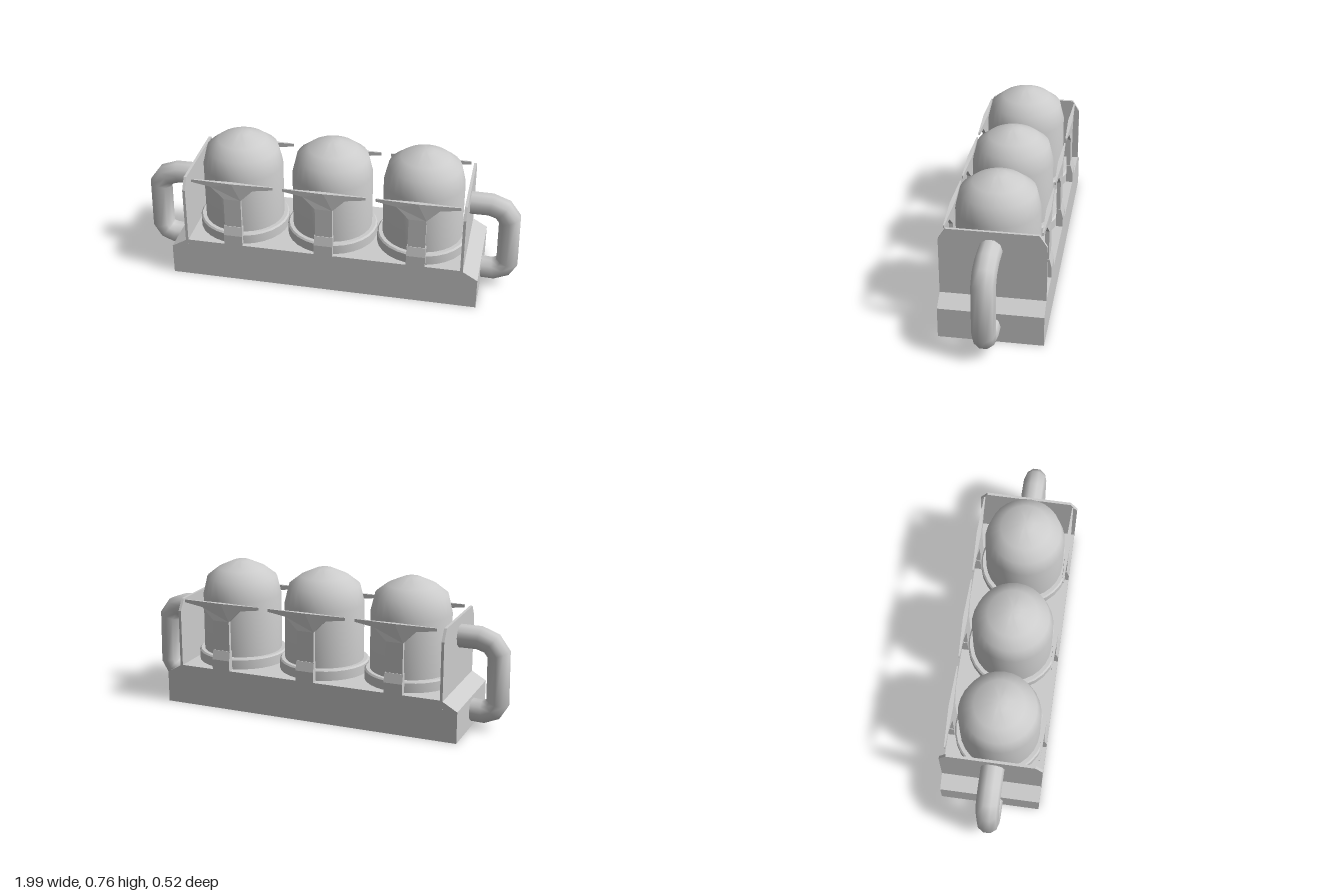
import * as THREE from 'three';
import { toCreasedNormals } from 'three/addons/utils/BufferGeometryUtils.js';

const material = new THREE.MeshStandardMaterial({ color: 0xcccccc });

function add(parent, name, geometry) {
  const mesh = new THREE.Mesh(geometry, material);
  mesh.name = name;
  parent.add(mesh);
  return mesh;
}

const vectors = (pairs) => pairs.map(([x, y]) => new THREE.Vector2(x, y));

// Flat outline extruded evenly to both sides of z = 0
function slab(pairs, depth) {
  const geometry = new THREE.ExtrudeGeometry(new THREE.Shape(vectors(pairs)), { depth, bevelEnabled: false });
  return geometry.translate(0, 0, -depth / 2);
}

function lathe(profile) {
  return toCreasedNormals(new THREE.LatheGeometry(vectors(profile), 28), 0.75);
}

// Path that places one tube ring at each listed point, mitred at the bends
class BentPath extends THREE.Curve {
  constructor(points) {
    super();
    this.points = points.map(([x, y]) => new THREE.Vector3(x, y, 0));
  }
  index(u) {
    return Math.round(u * (this.points.length - 1));
  }
  getPointAt(u, target = new THREE.Vector3()) {
    return target.copy(this.points[this.index(u)]);
  }
  getTangentAt(u, target = new THREE.Vector3()) {
    const p = this.points, i = this.index(u), here = p[i];
    target.set(0, 0, 0);
    if (i > 0) target.add(here.clone().sub(p[i - 1]).normalize());
    if (i < p.length - 1) target.add(p[i + 1].clone().sub(here).normalize());
    return target.normalize();
  }
}

// T-shaped bracket whose arms get thinner toward their tips
function bracketGeometry() {
  const half = [[0.045, 0.21], [0.045, 0.48], [0.11, 0.545], [0.215, 0.56], [0.215, 0.575]];
  const mirrored = half.map(([x, y]) => [-x, y]).reverse();
  const geometry = slab([...half, [0, 0.575], ...mirrored], 0.024);
  const p = geometry.attributes.position;
  for (let i = 0; i < p.count; i++) {
    const thin = 1 - 0.75 * Math.min(1, Math.abs(p.getX(i)) / 0.215);
    p.setZ(i, p.getZ(i) * thin);
  }
  geometry.computeVertexNormals();
  return geometry;
}

export function createModel() {
  const model = new THREE.Group();
  model.name = 'domedTankRack';

  // Base block with chamfered ends
  add(model, 'base', slab([
    [-0.81, 0], [0.81, 0], [0.81, 0.165], [0.725, 0.215], [-0.725, 0.215], [-0.81, 0.165],
  ], 0.523));

  // End plates with clipped upper corners, and the bent pipe handles
  const plate = slab([
    [-0.262, 0.165], [0.262, 0.165], [0.262, 0.515], [0.225, 0.575], [-0.225, 0.575], [-0.262, 0.515],
  ], 0.014).rotateY(Math.PI / 2);
  const path = new BentPath([
    [0.72, 0.475], [0.835, 0.475], [0.9, 0.452], [0.938, 0.4],
    [0.942, 0.145], [0.92, 0.107], [0.87, 0.087], [0.79, 0.091],
  ]);
  const handle = new THREE.TubeGeometry(path, path.points.length - 1, 0.06, 10, false);
  for (const side of [-1, 1]) {
    const name = side > 0 ? 'left' : 'right';
    add(model, name + 'EndPlate', plate).position.x = side * 0.726;
    const pipe = add(model, name + 'Handle', handle);
    pipe.rotation.y = side > 0 ? 0 : Math.PI;
    pipe.position.z = 0.01;
  }

  // Three domed tanks, each on a flange and held by front and back brackets
  const tank = lathe([
    [0.21, 0.2], [0.21, 0.575], [0.187, 0.67], [0.127, 0.717], [0.043, 0.755], [0, 0.757],
  ]);
  const flange = lathe([[0.238, 0.2], [0.238, 0.265], [0.23, 0.273], [0.2, 0.273]]);
  const bracket = bracketGeometry();
  const foot = slab([[-0.01, 0.21], [0.025, 0.21], [0.025, 0.27], [0.013, 0.32], [-0.01, 0.32]], 0.098)
    .rotateY(-Math.PI / 2);
  [-0.473, 0.008, 0.489].forEach((x, i) => {
    const unit = new THREE.Group();
    unit.name = 'tankUnit' + (i + 1);
    unit.position.x = x;
    model.add(unit);
    add(unit, 'tank', tank).position.z = 0.009;
    add(unit, 'flange', flange).position.z = 0.009;
    for (const side of [-1, 1]) {
      const holder = new THREE.Group();
      holder.name = side > 0 ? 'frontBracket' : 'backBracket';
      holder.rotation.y = side > 0 ? 0 : Math.PI;
      holder.position.z = side * 0.237;
      unit.add(holder);
      add(holder, 'bracketArm', bracket);
      add(holder, 'bracketFoot', foot);
    }
  });

  return model;
}
